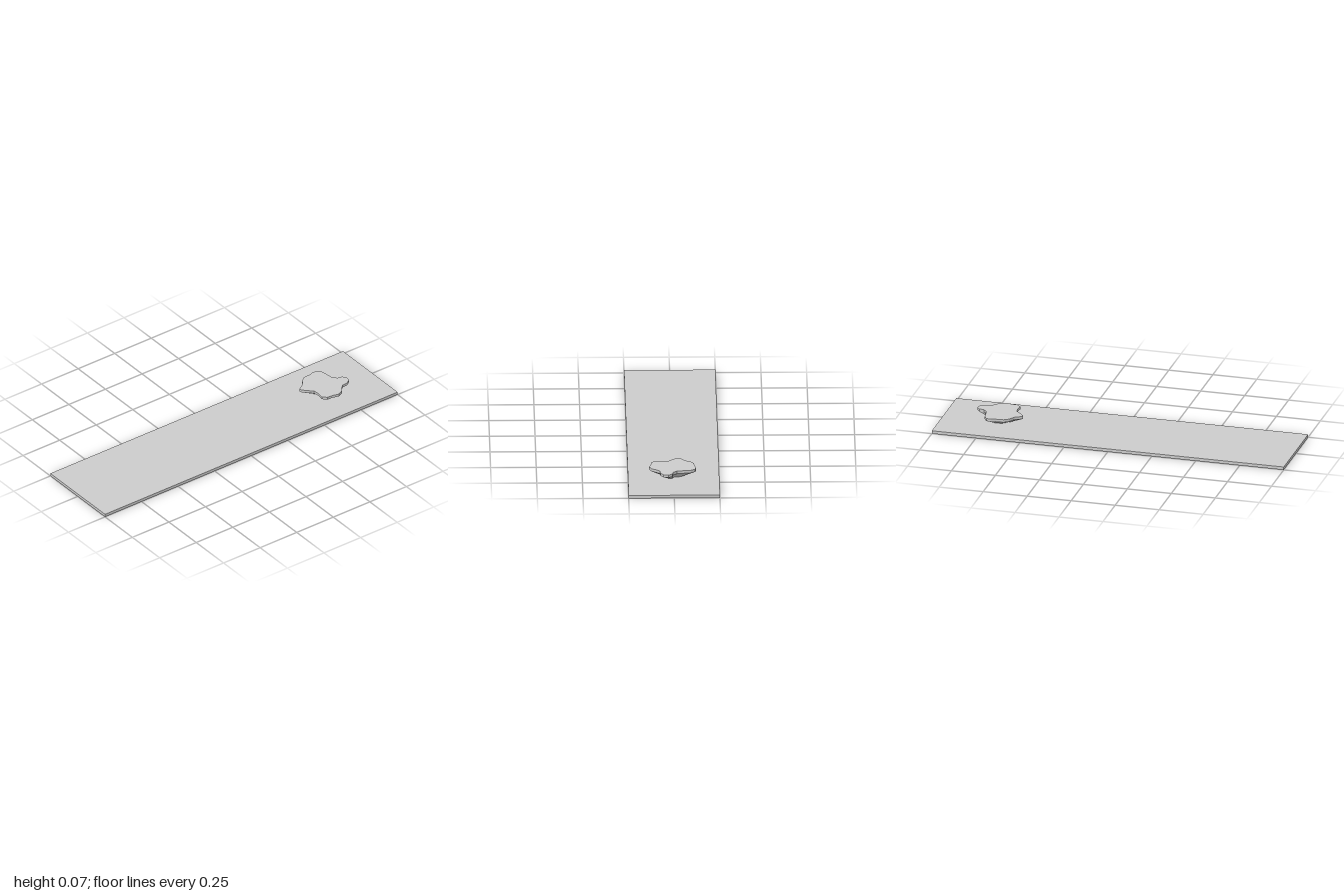
import * as THREE from 'three';

const BOARD_TOP = 0.017, RIM_BOTTOM = 0.053, RIM_TOP = 0.068;

export function createModel() {
  const group = new THREE.Group();
  const material = new THREE.MeshStandardMaterial({ color: 0xcccccc, flatShading: true });
  const add = (name, geometry, y) => {
    const mesh = new THREE.Mesh(geometry, material);
    mesh.name = name;
    mesh.position.y = y;
    group.add(mesh);
  };

  // Flat board
  add('board', new THREE.BoxGeometry(2, BOARD_TOP, 0.5), BOARD_TOP / 2);

  // Lobed outline of the raised knob as [x, z]
  const outline = [
    [0.542, -0.036], [0.583, -0.06], [0.604, -0.094], [0.63, -0.112], [0.674, -0.115], [0.7, -0.123],
    [0.727, -0.118], [0.743, -0.094], [0.748, -0.06], [0.754, -0.019], [0.775, 0.003], [0.802, 0.008],
    [0.818, 0.03], [0.813, 0.056], [0.786, 0.073], [0.754, 0.076], [0.733, 0.096], [0.717, 0.12],
    [0.685, 0.134], [0.647, 0.124], [0.615, 0.122], [0.594, 0.1], [0.599, 0.062], [0.594, 0.03],
    [0.567, 0.003], [0.546, -0.02],
  ];
  const shape = new THREE.Shape(outline.map(([x, z]) => new THREE.Vector2(x, -z)));
  const slab = (depth) =>
    new THREE.ExtrudeGeometry(shape, { depth, bevelEnabled: false }).rotateX(-Math.PI / 2);

  // Upright rim with the flat top
  add('knobRim', slab(RIM_TOP - RIM_BOTTOM), RIM_BOTTOM);

  // Underside tapering in to a small foot on the board
  const foot = slab(RIM_BOTTOM - BOARD_TOP);
  const p = foot.attributes.position;
  const cx = 0.68, cz = 0.003, taper = 0.4;
  for (let i = 0; i < p.count; i++) {
    if (p.getY(i) > 0.01) continue;
    p.setX(i, cx + (p.getX(i) - cx) * taper);
    p.setZ(i, cz + (p.getZ(i) - cz) * taper);
  }
  foot.computeVertexNormals();
  add('knobFoot', foot, BOARD_TOP);

  return group;
}
